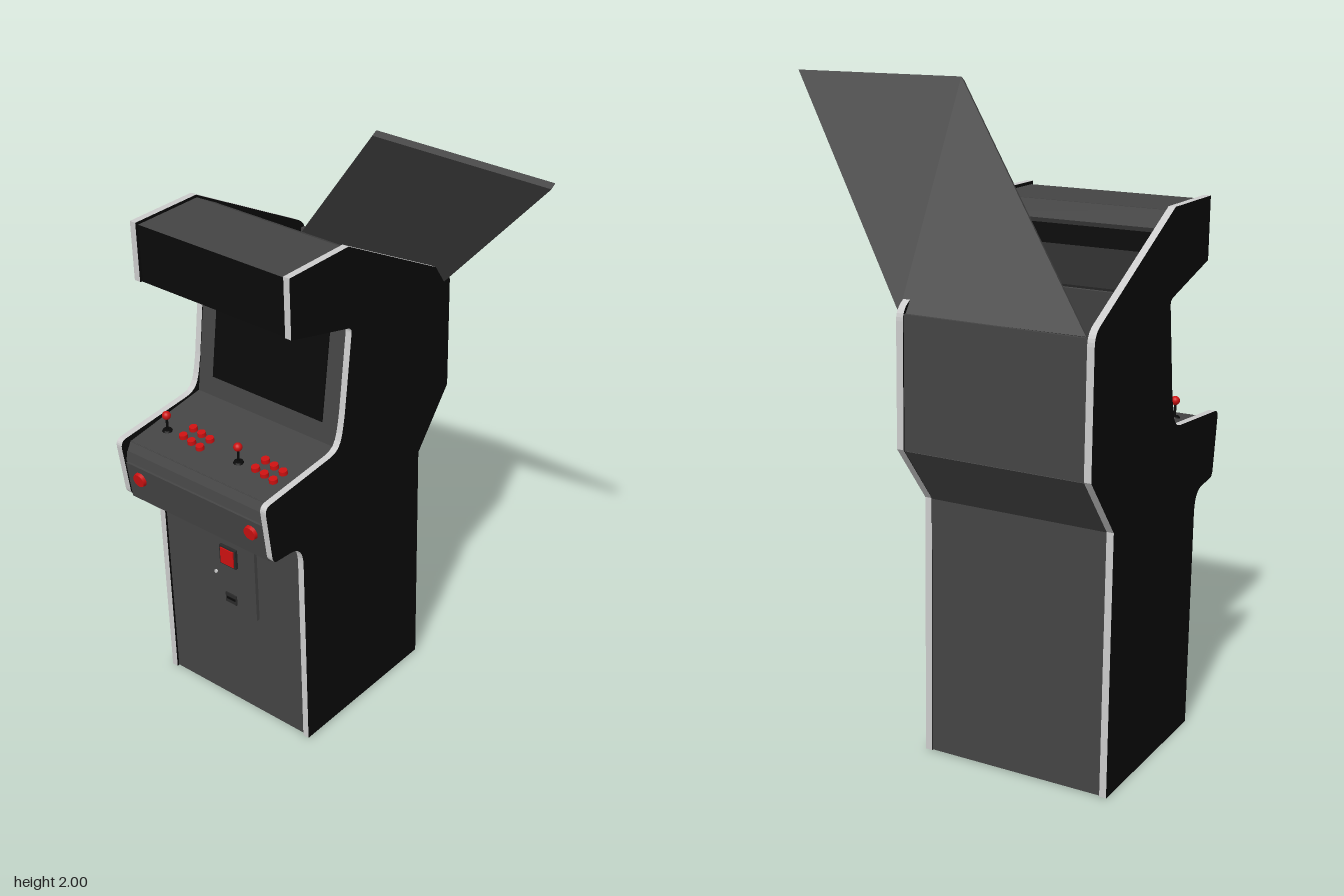
import * as THREE from 'three';

const mat = (color) => new THREE.MeshStandardMaterial({ color });
const grey = mat(0x444444), dark = mat(0x2a2a2a), black = mat(0x090909);
const red = mat(0xcc1111), trim = mat(0xcccccc);

const HALF = 0.304, PANEL = 0.022, INNER = 2 * (HALF - PANEL);

function add(parent, name, geometry, material, x = 0, y = 0, z = 0) {
  const mesh = new THREE.Mesh(geometry, material);
  mesh.name = name;
  mesh.position.set(x, y, z);
  parent.add(mesh);
  return mesh;
}

// Flat board spanning the cabinet between two [z, y] points
function board(parent, name, a, b, material = grey, width = INNER, t = 0.015) {
  const dz = b[0] - a[0], dy = b[1] - a[1];
  const mesh = add(parent, name, new THREE.BoxGeometry(width, t, Math.hypot(dz, dy)), material,
    0, (a[1] + b[1]) / 2, (a[0] + b[0]) / 2);
  mesh.rotation.x = Math.atan2(-dy, dz);
  return mesh;
}

// Side silhouette, drawn with z as the horizontal axis
function sideShape() {
  const s = new THREE.Shape();
  s.moveTo(-0.29, 0);
  s.lineTo(0.285, 0);
  s.lineTo(0.285, 0.695);
  s.quadraticCurveTo(0.285, 0.765, 0.34, 0.77);
  s.lineTo(0.4, 0.775);
  s.quadraticCurveTo(0.42, 0.775, 0.423, 0.8);
  s.lineTo(0.443, 0.96);
  s.quadraticCurveTo(0.446, 0.985, 0.42, 0.987);
  s.lineTo(0.15, 1.01);
  s.bezierCurveTo(0.1, 1.015, 0.095, 1.05, 0.08, 1.13);
  s.lineTo(0.045, 1.385);
  s.quadraticCurveTo(0.043, 1.402, 0.06, 1.407);
  s.lineTo(0.31, 1.475);
  s.lineTo(0.31, 1.665);
  s.lineTo(0.055, 1.665);
  s.lineTo(-0.405, 1.418);
  s.quadraticCurveTo(-0.44, 1.4, -0.44, 1.365);
  s.lineTo(-0.44, 0.995);
  s.lineTo(-0.29, 0.81);
  s.closePath();
  return s;
}

export function createModel() {
  const root = new THREE.Group();
  root.name = 'arcadeCabinet';
  const cab = new THREE.Group();
  cab.name = 'cabinet';
  cab.position.x = -0.3;
  cab.rotation.z = 0.006;
  root.add(cab);

  // Black side panels with pale edge trim
  const side = new THREE.ExtrudeGeometry(sideShape(), { depth: PANEL, bevelEnabled: false, curveSegments: 6 });
  side.rotateY(-Math.PI / 2);
  add(cab, 'leftSidePanel', side, [black, trim], HALF);
  add(cab, 'rightSidePanel', side, [black, trim], -HALF + PANEL);

  // Boards that close the body
  board(cab, 'floor', [-0.285, 0.008], [0.275, 0.008]);
  board(cab, 'lowerFront', [0.27, 0.002], [0.27, 0.775]);
  board(cab, 'lowerBack', [-0.28, 0.002], [-0.28, 0.815]);
  board(cab, 'slopedBack', [-0.28, 0.81], [-0.428, 0.995]);
  board(cab, 'upperBack', [-0.428, 0.992], [-0.428, 1.385]);

  // Control box
  board(cab, 'controlUnderside', [0.265, 0.78], [0.41, 0.78]);
  board(cab, 'controlFront', [0.408, 0.774], [0.424, 0.905]);
  board(cab, 'controlLip', [0.422, 0.908], [0.415, 0.94]);
  board(cab, 'controlBevel', [0.415, 0.936], [0.398, 0.966]);
  board(cab, 'controlDeck', [0.405, 0.961], [0.085, 1.003]);

  // Screen
  board(cab, 'screenBezel', [0.09, 1.0], [0.03, 1.41]);
  board(cab, 'screen', [0.086, 1.075], [0.038, 1.4], black, 0.445, 0.01);

  // Marquee
  board(cab, 'marqueeUnderside', [0.03, 1.41], [0.295, 1.478], dark);
  board(cab, 'marquee', [0.292, 1.472], [0.292, 1.655], black);
  board(cab, 'marqueeRoof', [0.299, 1.648], [0.052, 1.648]);
  board(cab, 'roofSlope', [0.055, 1.648], [-0.02, 1.607]);

  // Joysticks and buttons for both players
  const deckY = (z) => 0.968 + (0.405 - z) * 0.131;
  const shaft = new THREE.CylinderGeometry(0.004, 0.004, 0.06, 10);
  const collar = new THREE.CylinderGeometry(0.014, 0.017, 0.006, 16);
  const ball = new THREE.SphereGeometry(0.014, 16, 12);
  const button = new THREE.CylinderGeometry(0.013, 0.014, 0.016, 16);
  for (const x0 of [-0.22, 0.075]) {
    const stick = new THREE.Group();
    stick.name = 'joystick';
    stick.position.set(x0, deckY(0.305), 0.305);
    cab.add(stick);
    add(stick, 'joystickCollar', collar, black, 0, 0.003, 0);
    add(stick, 'joystickShaft', shaft, black, 0, 0.025, 0);
    add(stick, 'joystickBall', ball, red, 0, 0.055, 0);
    for (let row = 0; row < 2; row++) {
      for (let i = 0; i < 3; i++) {
        const z = 0.305 + i * 0.007 - row * 0.045;
        add(cab, 'actionButton', button, red, x0 + 0.068 + i * 0.041, deckY(z) + 0.006, z).rotation.x = 0.13;
      }
    }
  }

  // Large front buttons
  const startGeo = new THREE.CylinderGeometry(0.022, 0.025, 0.014, 20).rotateX(Math.PI / 2);
  for (const sx of [-1, 1]) add(cab, 'startButton', startGeo, red, sx * 0.228, 0.86, 0.43).rotation.x = 0.12;

  // Coin door
  const door = new THREE.Group();
  door.name = 'coinDoor';
  door.position.set(0, 0.525, 0.28);
  cab.add(door);
  const box = (w, h, d) => new THREE.BoxGeometry(w, h, d);
  add(door, 'doorPlate', box(0.21, 0.28, 0.02), grey);
  add(door, 'coinFrame', box(0.068, 0.07, 0.024), dark, 0, 0.07, 0.008);
  add(door, 'coinButton', box(0.054, 0.058, 0.03), red, 0, 0.07, 0.009);
  add(door, 'coinReturn', box(0.046, 0.036, 0.022), dark, 0, -0.098, 0.003);
  const flap = new THREE.CylinderGeometry(0.018, 0.018, 0.036, 16).rotateZ(Math.PI / 2);
  add(door, 'returnFlap', flap, black, 0, -0.098, -0.003);
  const lock = new THREE.CylinderGeometry(0.006, 0.006, 0.008, 12).rotateX(Math.PI / 2);
  add(door, 'doorLock', lock, trim, -0.06, -0.015, 0.012);

  // Rear lid, swung open and skewed towards the left
  const lid = new THREE.BoxGeometry(0.575, 1, 1);
  lid.applyMatrix4(new THREE.Matrix4().makeBasis(
    new THREE.Vector3(1, 0, 0),
    new THREE.Vector3(0.615, 0.615, 0.41),
    new THREE.Vector3(0, -0.011, 0.0166)));
  add(root, 'rearLid', lid, grey, 0.015, 1.687, -0.213);

  return root;
}
